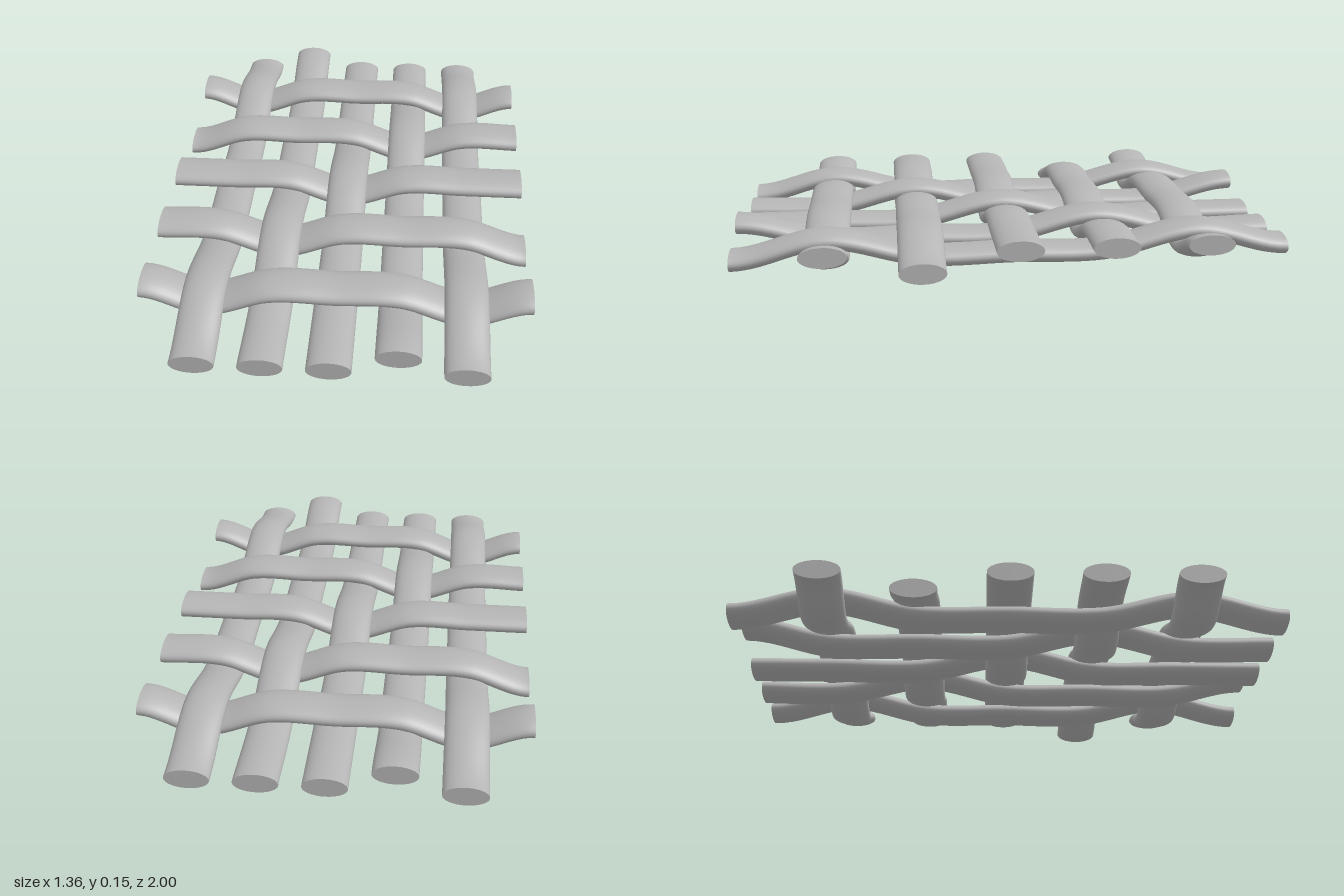
import * as THREE from 'three';

const MID = 0.0775, AMP = 0.0345, HALF_H = 0.0365;

// Height and slope of a strand at u (0..6 knots); level at both ends
function wave(levels, u) {
  const n = levels.length - 1;
  const k = Math.min(Math.floor(u), n - 1), t = u - k;
  const tan = i => (i <= 0 || i >= n ? 0 : (levels[i + 1] - levels[i - 1]) / 2);
  const a = levels[k], b = levels[k + 1], ma = tan(k), mb = tan(k + 1);
  const t2 = t * t, t3 = t2 * t;
  return {
    y: (2 * t3 - 3 * t2 + 1) * a + (t3 - 2 * t2 + t) * ma + (3 * t2 - 2 * t3) * b + (t3 - t2) * mb,
    d: (6 * t2 - 6 * t) * (a - b) + (3 * t2 - 4 * t + 1) * ma + (3 * t2 - 2 * t) * mb
  };
}

// Elliptical rod along z, bent up and down through the knot levels
function strandGeometry(levels, spacing, halfW) {
  const knots = levels.length - 1;
  const geo = new THREE.CylinderGeometry(1, 1, 1, 32, knots * 10);
  const pos = geo.attributes.position, nor = geo.attributes.normal;
  const normal = new THREE.Vector3();
  for (let i = 0; i < pos.count; i++) {
    const u = THREE.MathUtils.clamp((pos.getY(i) + 0.5) * knots, 0, knots);
    const { y, d } = wave(levels, u);
    const angle = Math.atan(d / spacing), c = Math.cos(angle), s = Math.sin(angle);
    const up = -pos.getZ(i) * HALF_H;
    pos.setXYZ(i, pos.getX(i) * halfW, y + up * c, (u - knots / 2) * spacing - up * s);
    const nx = nor.getX(i) / halfW, nu = -nor.getZ(i) / HALF_H, nt = nor.getY(i);
    normal.set(nx, nu * c + nt * s, nt * c - nu * s).normalize();
    nor.setXYZ(i, normal.x, normal.y, normal.z);
  }
  return geo;
}

export function createModel() {
  const model = new THREE.Group();
  model.name = 'wovenPatch';
  const grey = new THREE.MeshStandardMaterial({ color: 0xb4b4b4 });
  grey.name = 'light grey';

  const stepX = 0.2273, stepZ = 0.3333;
  const knots = [-1, 0, 1, 2, 3, 4, 5];
  // Twill pattern: lengthwise strands pass over every fourth crossing
  const lengthwiseOver = (i, j) => (i + j) % 4 === 0;

  for (let n = 0; n < 5; n++) {
    const warp = knots.map(k => MID + (lengthwiseOver(n, k) ? AMP : -AMP));
    const long = new THREE.Mesh(strandGeometry(warp, stepZ, 0.0765), grey);
    long.name = 'lengthwiseStrand' + (n + 1);
    long.position.x = (n - 2) * stepX;
    model.add(long);

    const weft = knots.map(k => MID + (lengthwiseOver(k, n) ? -AMP : AMP));
    const cross = new THREE.Mesh(strandGeometry(weft, stepX, 0.0825).rotateY(Math.PI / 2), grey);
    cross.name = 'crosswiseStrand' + (n + 1);
    cross.position.z = (n - 2) * stepZ;
    model.add(cross);
  }
  return model;
}
